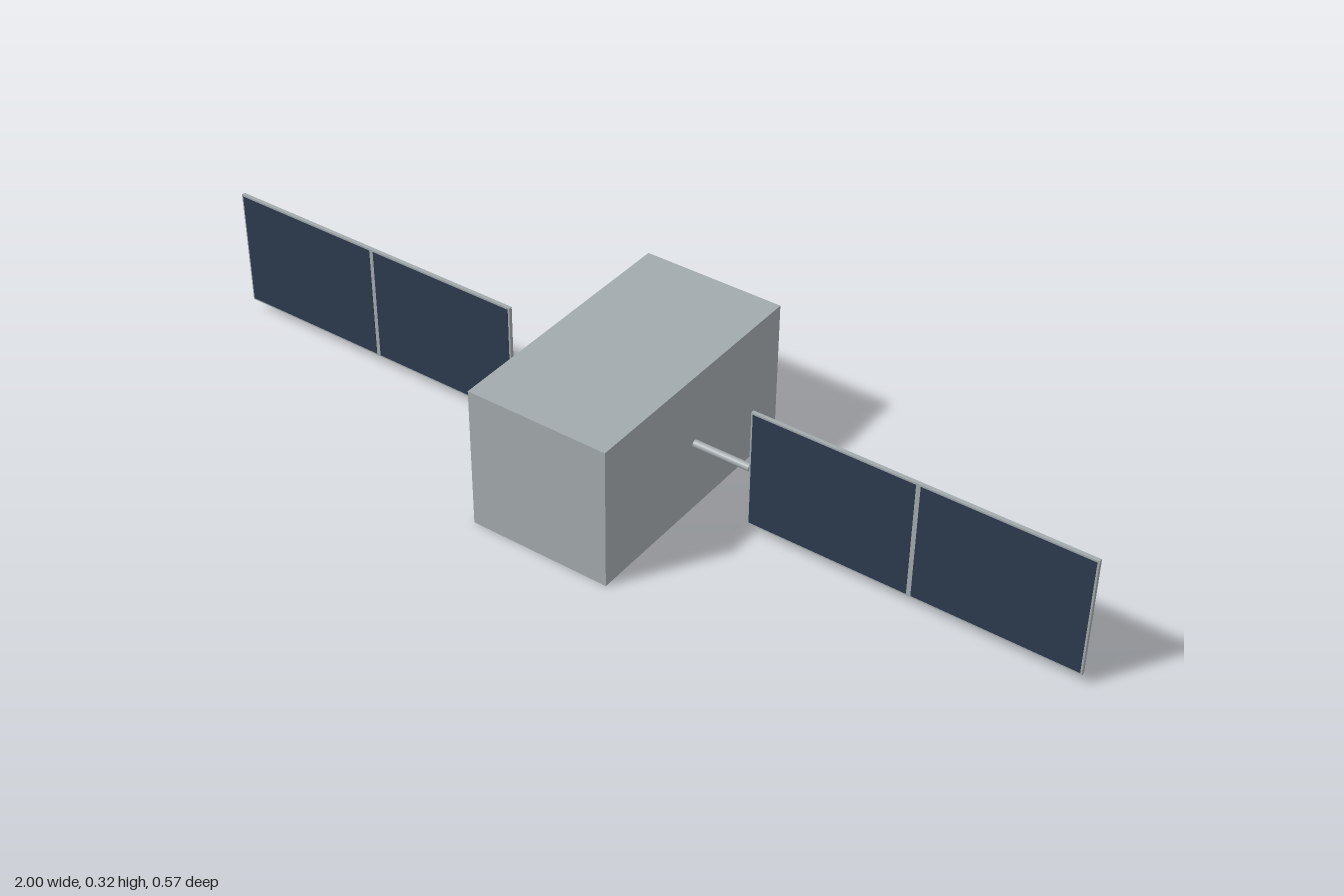
import * as THREE from 'three';

const BODY = { w: 0.316, h: 0.316, d: 0.574 };
const PANEL = { inner: 0.285, outer: 1, h: 0.266, t: 0.008 };
const MID_Y = BODY.h / 2;

export function createModel() {
  const hull = new THREE.MeshStandardMaterial({ color: 0xa3aaad });
  hull.name = 'hullGrey';
  const solar = new THREE.MeshStandardMaterial({ color: 0x2c3a4e });
  solar.name = 'solarBlue';

  const model = new THREE.Group();
  model.name = 'satellite';

  const add = (parent, name, geometry, material, x, y, z) => {
    const mesh = new THREE.Mesh(geometry, material);
    mesh.name = name;
    mesh.position.set(x, y, z);
    parent.add(mesh);
    return mesh;
  };

  // Main body
  add(model, 'body', new THREE.BoxGeometry(BODY.w, BODY.h, BODY.d), hull, 0, MID_Y, 0);

  const panelW = PANEL.outer - PANEL.inner;
  const panelX = (PANEL.outer + PANEL.inner) / 2;
  const border = 0.004;
  const gap = 0.01;
  const cellW = (panelW - 2 * border - gap) / 2;
  const cellT = 0.001;

  // Mirrored solar wings
  for (const [side, s] of [['left', 1], ['right', -1]]) {
    const wing = new THREE.Group();
    wing.name = `${side}Wing`;
    model.add(wing);

    // Round boom from the body to the panel
    const armStart = BODY.w / 2 - 0.005;
    const armL = PANEL.inner - armStart;
    const arm = add(wing, 'boom', new THREE.CylinderGeometry(0.008, 0.008, armL, 16), hull,
      s * (armStart + armL / 2), MID_Y, 0);
    arm.rotation.z = Math.PI / 2;

    // Panel backing
    add(wing, 'panel', new THREE.BoxGeometry(panelW, PANEL.h, PANEL.t), hull, s * panelX, MID_Y, 0);

    // Two solar cells on the front face
    for (const k of [-1, 1]) {
      add(wing, 'solarCell', new THREE.BoxGeometry(cellW, PANEL.h - 2 * border, cellT), solar,
        s * panelX + k * (cellW + gap) / 2, MID_Y, PANEL.t / 2 + cellT / 2);
    }
  }
  return model;
}
